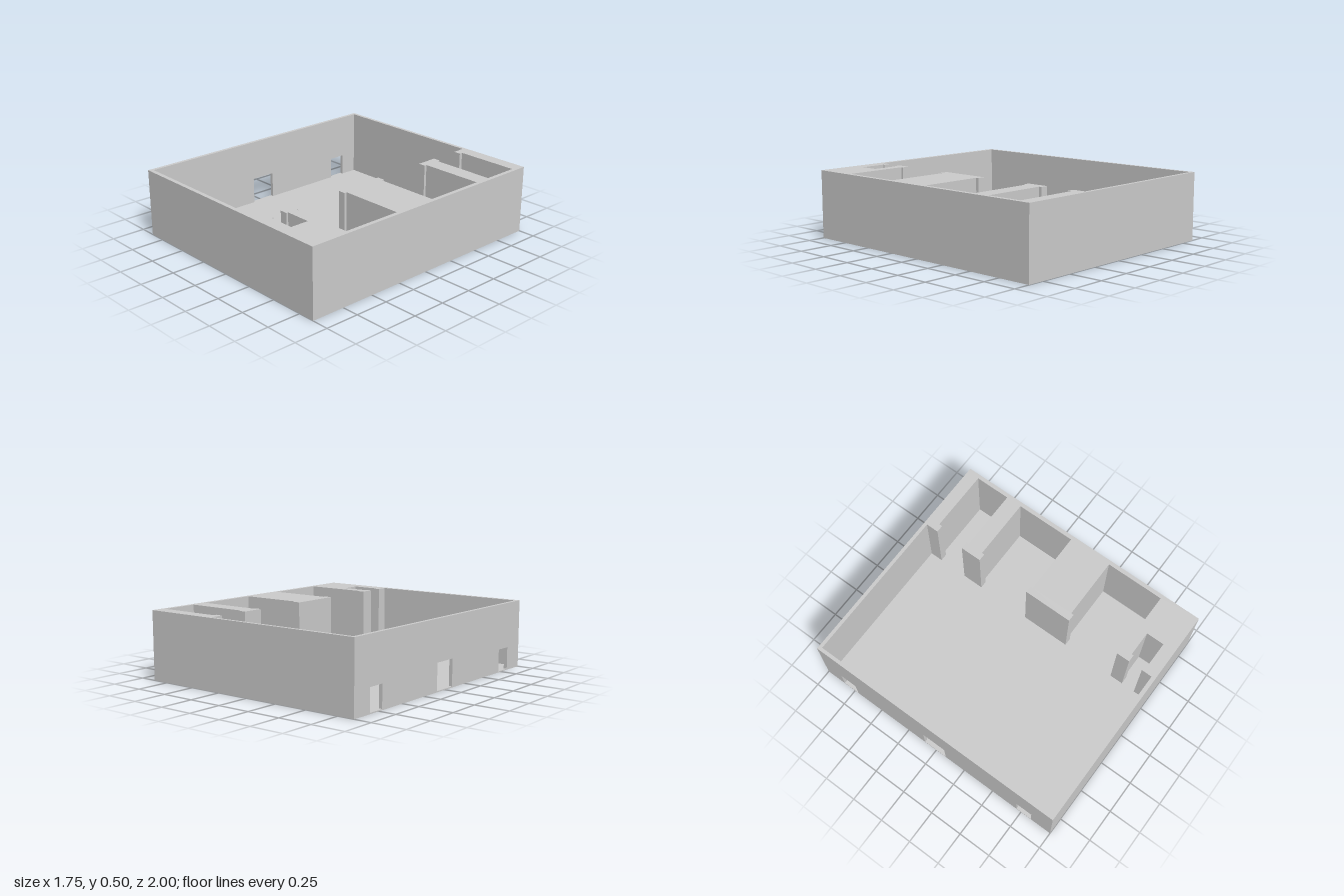
import * as THREE from 'three';

const H = 0.495, FLOOR = 0.008;   // overall height, slab thickness
const X = 0.875, Z = 1;           // half width, half length
const WALL_X = -0.85;             // inner face of the doorway wall
const ROOM_X = 0.325, NECK_X = 0.38; // face and back of the alcove frames

// Alcoves: opening z range, wider inner z range, depth in x
const ALCOVES = [
  { open: [-0.88, -0.66], inner: [-0.905, -0.64], back: 0.845 },
  { open: [-0.5, -0.09], inner: [-0.52, -0.07], back: 0.845 },
  { open: [0.28, 0.685], inner: [0.26, 0.7], back: 0.845 },
  { open: [0.785, 0.89], inner: [0.77, 0.905], back: 0.57 },
];

// Doorways: z range and top height
const DOORS = [[-0.845, -0.717, 0.168], [-0.1, 0.086, 0.2], [0.711, 0.835, 0.168]];

const shapeOf = (points) => new THREE.Shape(points.map(([a, b]) => new THREE.Vector2(a, b)));

export function createModel() {
  const group = new THREE.Group();
  const material = new THREE.MeshStandardMaterial({ color: 0xcccccc, flatShading: true });
  const add = (name, geometry) => {
    const mesh = new THREE.Mesh(geometry, material);
    mesh.name = name;
    group.add(mesh);
  };

  // Floor slab
  add('floor', new THREE.BoxGeometry(2 * X, FLOOR, 2 * Z).translate(0, FLOOR / 2, 0));

  // Front, back and alcove walls as one plan outline (x, z), open towards the doorway wall
  const plan = [[WALL_X, -Z], [X, -Z], [X, Z], [WALL_X, Z], [WALL_X, 0.97], [ROOM_X, 0.97]];
  for (const { open, inner, back } of [...ALCOVES].reverse()) {
    plan.push(
      [ROOM_X, open[1]], [NECK_X, open[1]], [NECK_X, inner[1]], [back, inner[1]],
      [back, inner[0]], [NECK_X, inner[0]], [NECK_X, open[0]], [ROOM_X, open[0]],
    );
  }
  plan.push([ROOM_X, -0.975], [WALL_X, -0.975]);
  const walls = new THREE.ExtrudeGeometry(shapeOf(plan), { depth: H - FLOOR, bevelEnabled: false });
  add('alcoveWalls', walls.rotateX(Math.PI / 2).translate(0, H, 0));

  // Side wall (z, y) with doorways notched from the floor
  const side = [[-Z, FLOOR]];
  for (const [z0, z1, top] of DOORS) side.push([z0, FLOOR], [z0, top], [z1, top], [z1, FLOOR]);
  side.push([Z, FLOOR], [Z, H], [-Z, H]);
  const sideWall = new THREE.ExtrudeGeometry(shapeOf(side), { depth: X + WALL_X, bevelEnabled: false });
  add('doorwayWall', sideWall.rotateY(-Math.PI / 2).translate(WALL_X, 0, 0));

  return group;
}
